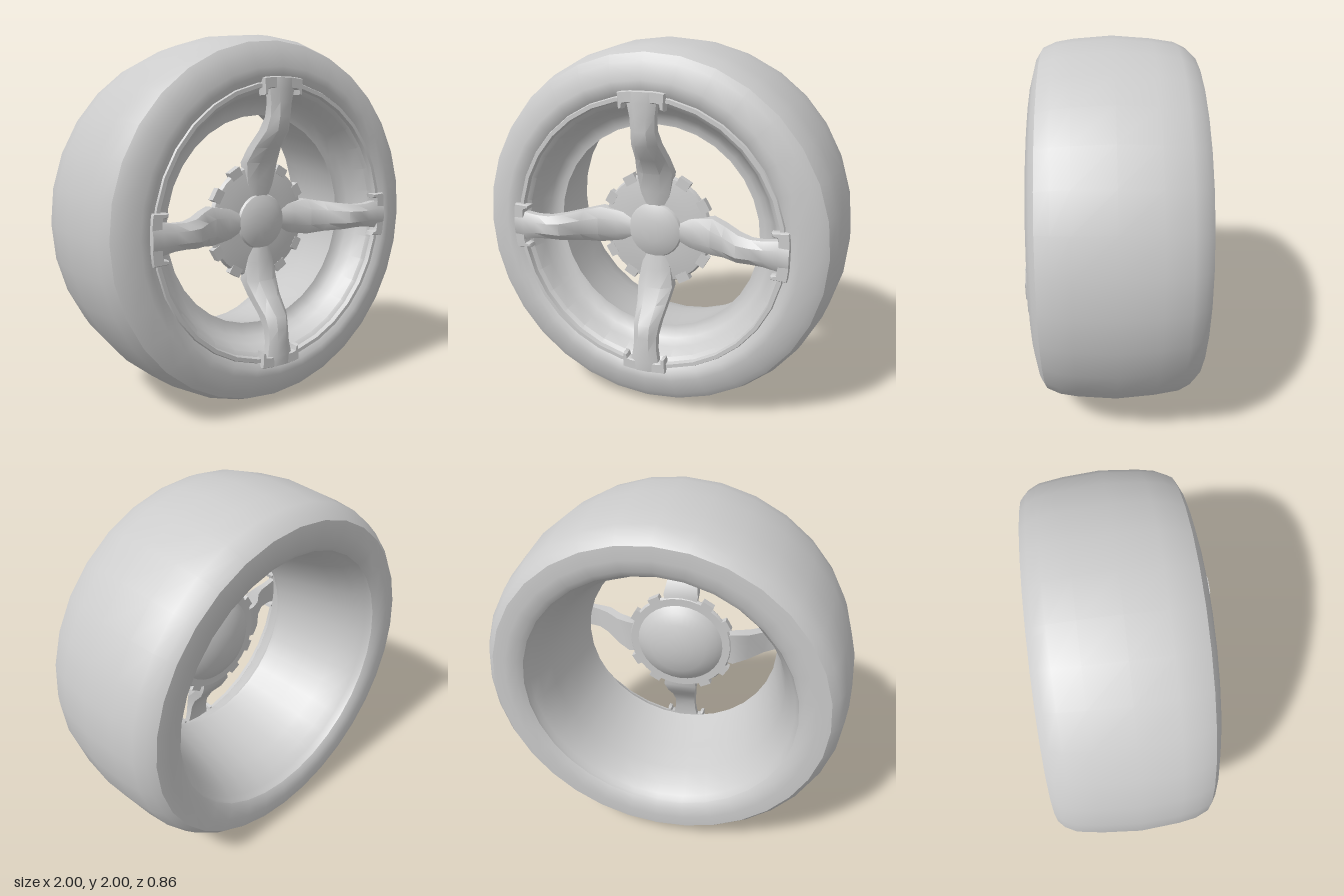
import * as THREE from 'three';
import { toCreasedNormals } from 'three/addons/utils/BufferGeometryUtils.js';

const grey = new THREE.MeshStandardMaterial({ color: 0xcccccc, side: THREE.DoubleSide });

function addPart(parent, name, geometry, crease = 0.6) {
  const mesh = new THREE.Mesh(toCreasedNormals(geometry, crease), grey);
  mesh.name = name;
  parent.add(mesh);
  return mesh;
}

// Revolve [radius, z] points around the wheel axis (z)
function revolve(points, segments = 32) {
  const profile = points.map(([r, z]) => new THREE.Vector2(r, z));
  return new THREE.LatheGeometry(profile, segments).rotateX(Math.PI / 2);
}

// Skin a bevelled bar along +y from stations [y, halfWidth, frontZ, thickness]
function bar(stations) {
  const positions = [], index = [], n = 6;
  for (const [y, w, z, t] of stations) {
    const section = [[-w, z - t], [w, z - t], [w, z - t * 0.4], [w * 0.45, z], [-w * 0.45, z], [-w, z - t * 0.4]];
    for (const [x, depth] of section) positions.push(x, y, depth);
  }
  for (let i = 0; i < stations.length - 1; i++) {
    for (let j = 0; j < n; j++) {
      const a = i * n + j, b = i * n + (j + 1) % n;
      index.push(a, a + n, b, b, a + n, b + n);
    }
  }
  const end = (stations.length - 1) * n;
  for (let j = 1; j < n - 1; j++) {
    index.push(0, j, j + 1);
    index.push(end, end + j + 1, end + j);
  }
  const g = new THREE.BufferGeometry();
  g.setAttribute('position', new THREE.Float32BufferAttribute(positions, 3));
  g.setIndex(index);
  g.computeVertexNormals();
  return g;
}

export function createModel() {
  const model = new THREE.Group();
  model.name = 'wheel';
  const wheel = new THREE.Group();
  wheel.name = 'wheelAssembly';
  wheel.position.y = 1;
  model.add(wheel);

  // Tyre, from the back bead around the tread to the front bead
  addPart(wheel, 'tyre', revolve([
    [0.74, -0.4], [0.77, -0.42], [0.83, -0.428], [0.9, -0.425], [0.935, -0.39], [0.965, -0.33],
    [0.985, -0.2], [1, 0], [0.985, 0.2], [0.97, 0.29], [0.94, 0.36], [0.9, 0.385],
    [0.81, 0.41], [0.77, 0.408], [0.74, 0.39],
  ]));

  // Rim: stepped front lip, dish to the narrow throat, then the flared back barrel
  addPart(wheel, 'rim', revolve([
    [0.74, 0.39], [0.735, 0.4], [0.715, 0.4], [0.71, 0.375], [0.69, 0.36], [0.665, 0.29],
    [0.635, 0.24], [0.6, 0.215], [0.57, 0.21], [0.575, 0.19], [0.595, 0.1], [0.625, -0.05],
    [0.655, -0.2], [0.69, -0.31], [0.72, -0.36], [0.735, -0.385], [0.74, -0.4],
  ]));

  // Hub: domed back, sloping front plate and centre cap
  addPart(wheel, 'hub', revolve([
    [0, 0.09], [0.08, 0.096], [0.16, 0.115], [0.22, 0.145], [0.255, 0.175], [0.3, 0.175],
    [0.31, 0.19], [0.3, 0.21], [0.23, 0.222], [0.15, 0.228], [0, 0.23],
  ]));
  addPart(wheel, 'centreCap', revolve([
    [0.155, 0.222], [0.145, 0.24], [0.11, 0.256], [0.06, 0.266], [0, 0.27],
  ], 24));

  // Clamp outline where a spoke grips the rim
  const clamp = new THREE.Shape([
    [-0.12, 0.665], [-0.1, 0.67], [-0.095, 0.695], [-0.075, 0.7], [0.075, 0.7], [0.095, 0.695],
    [0.1, 0.67], [0.12, 0.665], [0.125, 0.75], [0.11, 0.755], [0.06, 0.76],
    [-0.06, 0.76], [-0.11, 0.755], [-0.125, 0.75],
  ].map(([x, y]) => new THREE.Vector2(x, y)));

  for (let i = 0; i < 4; i++) {
    const arm = new THREE.Group();
    arm.name = 'spoke' + (i + 1);
    arm.rotation.z = i * Math.PI / 2;
    wheel.add(arm);

    // Cranked arm, rising steeply from the hub and level near the rim
    addPart(arm, 'spokeArm', bar([
      [0.11, 0.06, 0.235, 0.05], [0.22, 0.085, 0.255, 0.07], [0.32, 0.1, 0.28, 0.1],
      [0.4, 0.085, 0.335, 0.11], [0.49, 0.072, 0.415, 0.11], [0.56, 0.064, 0.425, 0.08],
      [0.63, 0.066, 0.425, 0.065], [0.7, 0.078, 0.428, 0.06], [0.755, 0.083, 0.425, 0.06],
    ]), 0.7);
    addPart(arm, 'rimClamp', new THREE.ExtrudeGeometry(clamp, {
      depth: 0.04, bevelThickness: 0.008, bevelSize: 0.005, bevelOffset: -0.005, bevelSegments: 1,
    }).translate(0, 0, 0.372));

    // Tabs on the hub edge between the arms
    for (const angle of [-Math.PI / 6, Math.PI / 6]) {
      const tab = addPart(arm, 'hubTab', new THREE.BoxGeometry(0.07, 0.05, 0.04).translate(0, 0.302, 0.195));
      tab.rotation.z = angle;
    }
  }
  return model;
}
